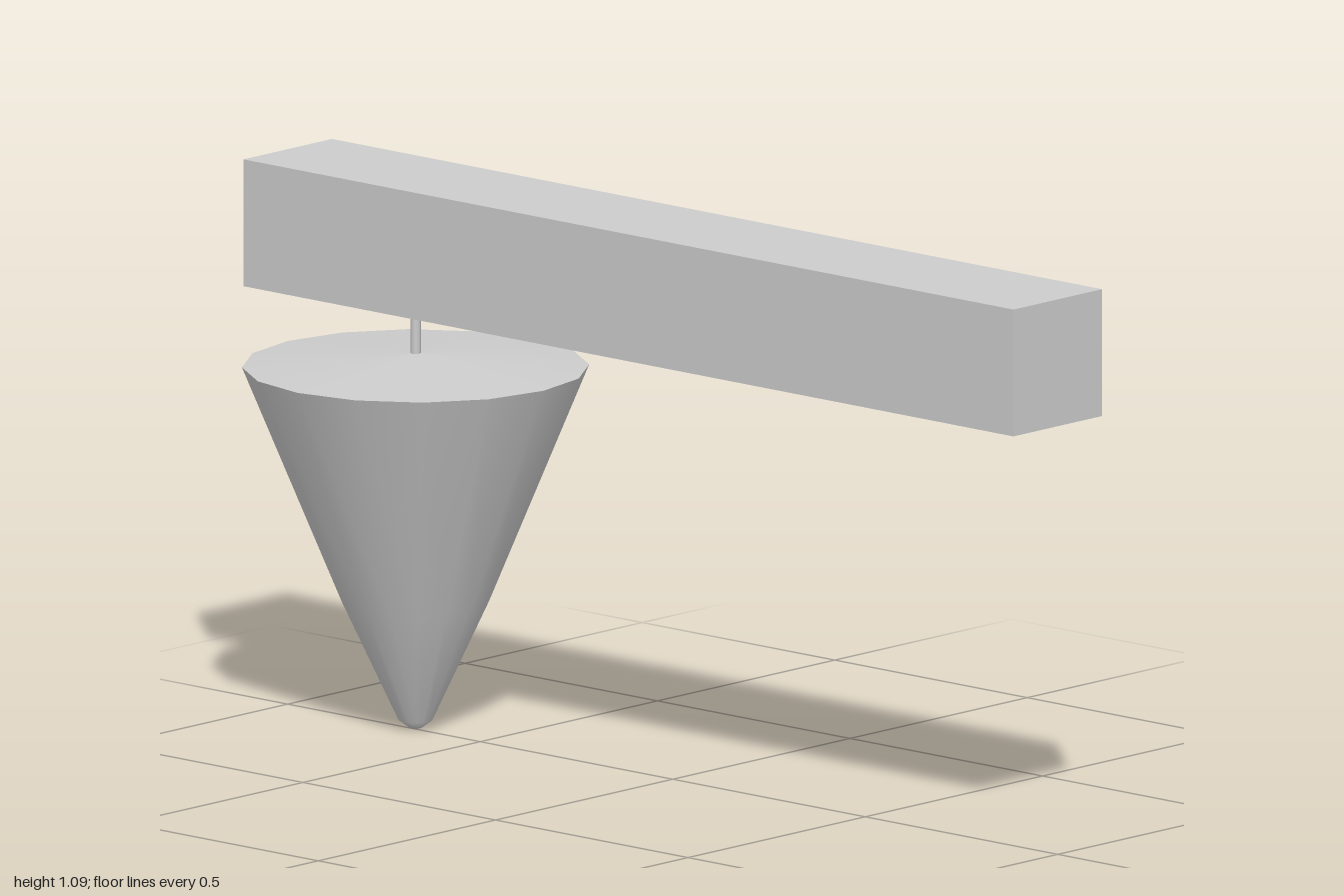
import * as THREE from 'three';

export function createModel() {
  const model = new THREE.Group();
  const grey = new THREE.MeshStandardMaterial({ color: 0xcccccc });
  grey.name = 'light grey';

  const add = (name, geometry, y, z) => {
    const mesh = new THREE.Mesh(geometry, grey);
    mesh.name = name;
    mesh.position.set(0, y, z);
    model.add(mesh);
  };
  const lathe = (points) =>
    new THREE.LatheGeometry(points.map(([r, y]) => new THREE.Vector2(r, y)), 16);

  const bobZ = -0.668;

  // Long square beam
  add('beam', new THREE.BoxGeometry(0.25, 0.248, 2), 0.961, 0);

  // Thin rod hanging the bob from the beam
  add('rod', new THREE.CylinderGeometry(0.01, 0.01, 0.108, 8), 0.786, bobZ);

  // Tapered bob with a blunt tip and a shallow conical lid, creased at the rim
  add('bob', lathe([[0, 0], [0.012, 0.003], [0.033, 0.019], [0.141, 0.25], [0.332, 0.71]]), 0, bobZ);
  add('bobLid', lathe([[0.332, 0.71], [0, 0.736]]), 0, bobZ);

  return model;
}
